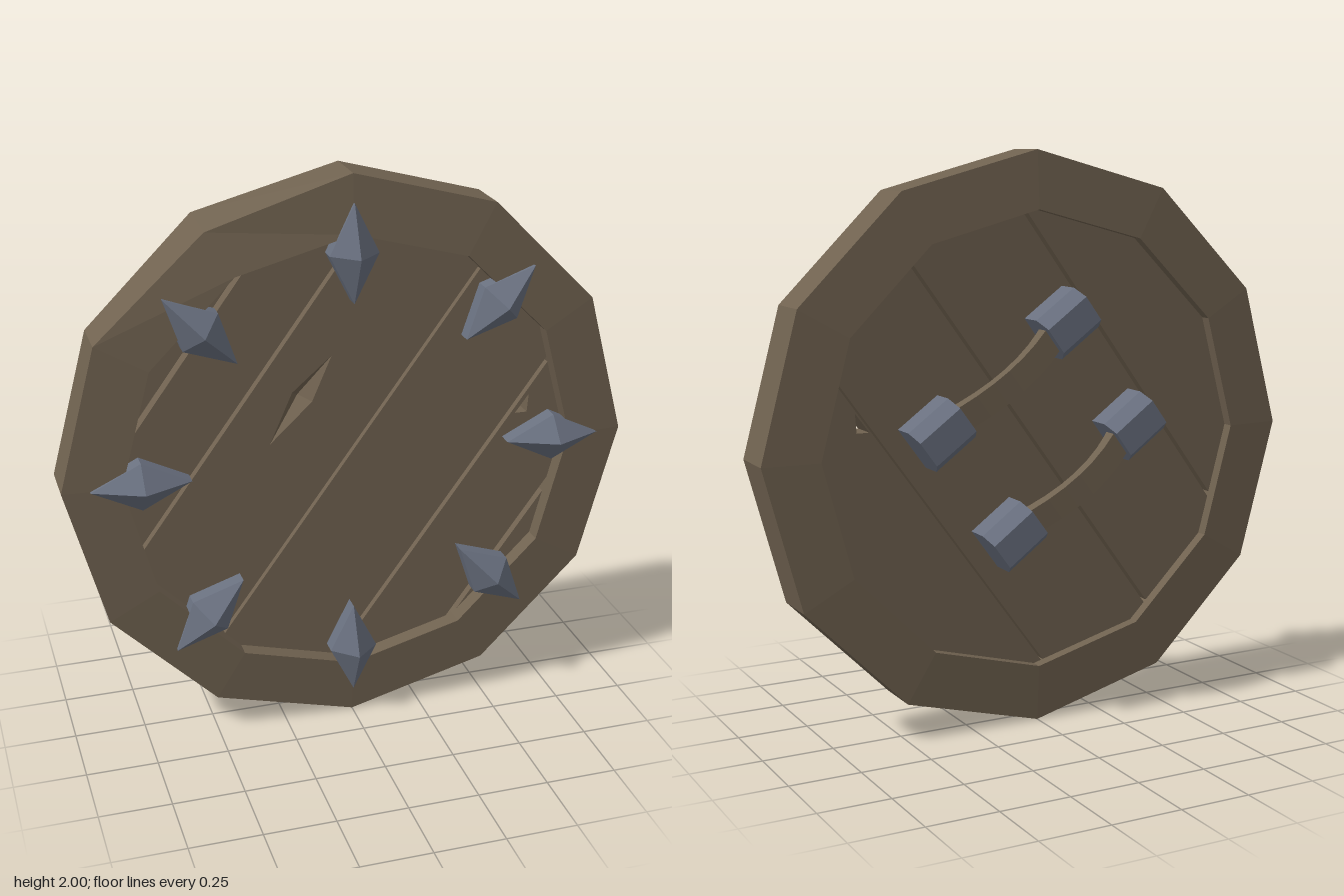
import * as THREE from 'three';

const wood = new THREE.MeshStandardMaterial({ color: 0x706250, flatShading: true, name: 'wood' });
const iron = new THREE.MeshStandardMaterial({ color: 0x69707f, flatShading: true, name: 'iron' });

// Plank direction (ALONG) and the direction across the planks (ACROSS)
const ALONG = [0.59, 0.807], ACROSS = [0.807, -0.59];
const CENTRE_Y = 1;

function add(parent, name, geometry, material) {
  const mesh = new THREE.Mesh(geometry, material);
  mesh.name = name;
  parent.add(mesh);
  return mesh;
}

const toVectors = pts => pts.map(([x, y]) => new THREE.Vector2(x, y));

// Flat outline pushed from z0 to z1, with optional holes
function slab(pts, z0, z1, holes = []) {
  const shape = new THREE.Shape(toVectors(pts));
  for (const h of holes) shape.holes.push(new THREE.Path(toVectors(h)));
  return new THREE.ExtrudeGeometry(shape, { depth: z1 - z0, bevelEnabled: false }).translate(0, 0, z0);
}

// Triangles from a counter-clockwise outline to a single apex
function fan(pts, z, apex) {
  const v = [];
  pts.forEach((p, i) => {
    const q = pts[(i + 1) % pts.length];
    v.push(p[0], p[1], z, q[0], q[1], z, ...apex);
  });
  const g = new THREE.BufferGeometry();
  g.setAttribute('position', new THREE.Float32BufferAttribute(v, 3));
  g.computeVertexNormals();
  return g;
}

// Keep the part of a polygon where sign * (distance across planks - limit) >= 0
function clip(pts, limit, sign) {
  const dist = p => sign * (p[0] * ACROSS[0] + p[1] * ACROSS[1] - limit);
  const out = [];
  pts.forEach((p, i) => {
    const q = pts[(i + 1) % pts.length], a = dist(p), b = dist(q);
    if (a >= 0) out.push(p);
    if (a * b < 0) {
      const t = a / (a - b);
      out.push([p[0] + (q[0] - p[0]) * t, p[1] + (q[1] - p[1]) * t]);
    }
  });
  return out;
}

function buildRim(parent) {
  const profile = [[0.8, -0.08], [1, -0.066], [1, 0.106], [0.8, 0.12], [0.8, -0.08]];
  const g = new THREE.LatheGeometry(toVectors(profile), 12).rotateX(Math.PI / 2);
  // Worn corner on the front upper right edge
  const pos = g.attributes.position;
  for (let i = 0; i < pos.count; i++) {
    const worn = Math.abs(pos.getX(i) + 0.5) < 0.01 && Math.abs(pos.getY(i) - 0.866) < 0.01;
    if (worn && pos.getZ(i) > 0) pos.setXYZ(i, -0.49, 0.84, 0.088);
  }
  g.computeVertexNormals();
  add(parent, 'rim', g, wood);
}

function buildPlanks(parent) {
  const disc = Array.from({ length: 12 }, (_, i) =>
    [0.83 * Math.cos(i * Math.PI / 6), 0.83 * Math.sin(i * Math.PI / 6)]);
  const gouge = [[-0.06, 0.37], [-0.2, 0.25], [-0.28, 0.07], [-0.13, 0.21]];
  const chip = [[0.615, 0.08], [0.66, 0.08], [0.665, 0.147]];
  const plank = (name, from, to, z0, z1, holes) =>
    add(parent, name, slab(clip(clip(disc, from, 1), to, -1), z0, z1, holes), wood);

  // Front boards, with a gouge in one and a chip through another
  [
    [-0.9, -0.715], [-0.695, -0.446], [-0.432, -0.006, [gouge]],
    [0.006, 0.42], [0.435, 0.715, [chip]], [0.735, 0.9],
  ].forEach(([a, b, holes]) => plank('frontPlank', a, b, 0.01, 0.06, holes));
  // Back boards
  [
    [-0.9, -0.446], [-0.432, -0.006], [0.006, 0.437], [0.444, 0.9, [chip]],
  ].forEach(([a, b, holes]) => plank('backPlank', a, b, -0.04, 0.01, holes));

  add(parent, 'gouge', fan(gouge, 0.06, [-0.17, 0.225, 0.015]), wood);
}

function buildSpikes(parent) {
  // Kite-shaped stud pointing outward
  const kite = [[0.085, 0.735], [0, 0.905], [-0.085, 0.735], [0, 0.565]];
  for (let i = 0; i < 8; i++) {
    const spike = new THREE.Group();
    spike.name = 'spike';
    add(spike, 'spikeBase', slab(kite, 0.07, 0.125), iron);
    add(spike, 'spikePoint', fan(kite, 0.125, [0, 0.735, 0.2]), iron);
    spike.rotation.z = i * Math.PI / 4;
    parent.add(spike);
  }
}

function buildHandle(parent, x, y) {
  // Local x runs along the strap, local z points out of the back
  const handle = new THREE.Group();
  handle.name = 'handle';
  const xAxis = new THREE.Vector3(-ACROSS[0], -ACROSS[1], 0);
  const yAxis = new THREE.Vector3(ALONG[0], ALONG[1], 0);
  const zAxis = new THREE.Vector3(0, 0, -1);
  handle.setRotationFromMatrix(new THREE.Matrix4().makeBasis(xAxis, yAxis, zAxis));
  handle.position.set(x, y, -0.04);

  // Chamfered brackets, extruded along the strap
  const section = [[-0.085, 0], [0.085, 0], [0.085, 0.085], [0.05, 0.135], [-0.05, 0.135], [-0.085, 0.085]];
  for (const side of [-1, 1]) {
    const g = slab(section, -0.09, 0.09);
    g.rotateX(Math.PI / 2).rotateZ(Math.PI / 2);
    add(handle, 'bracket', g, iron).position.x = side * 0.295;
  }

  // Arched strap
  const outer = [], inner = [];
  for (let i = 0; i <= 8; i++) {
    const t = -1 + i / 4, rise = 1 - t * t;
    outer.push([t * 0.27, 0.07 + 0.092 * rise]);
    inner.unshift([t * 0.25, 0.03 + 0.095 * rise]);
  }
  add(handle, 'strap', slab([...outer, ...inner], -0.045, 0.045).rotateX(Math.PI / 2), wood);
  parent.add(handle);
}

export function createModel() {
  const model = new THREE.Group();
  model.name = 'shield';
  const body = new THREE.Group();
  body.name = 'shieldBody';
  body.position.y = CENTRE_Y;
  model.add(body);

  buildRim(body);
  buildPlanks(body);
  buildSpikes(body);
  buildHandle(body, 0.152, 0.24);
  buildHandle(body, -0.118, -0.135);
  return model;
}
